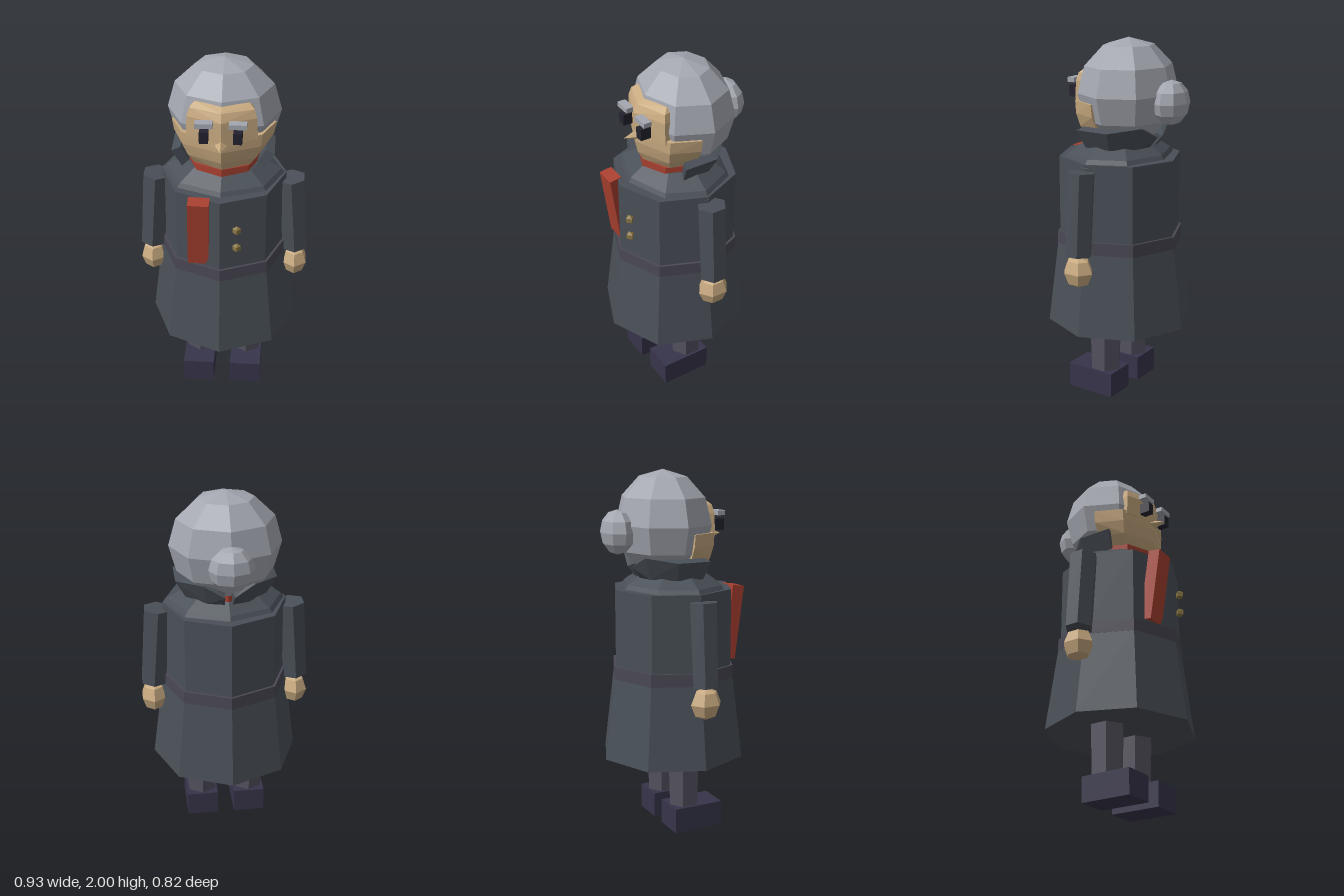
import * as THREE from 'three';
import { ConvexGeometry } from 'three/addons/geometries/ConvexGeometry.js';

const mat = (color) => new THREE.MeshStandardMaterial({ color, flatShading: true });
const M = {
  coat: mat(0x4a5058), belt: mat(0x4a4854), legs: mat(0x55525f), shoes: mat(0x37344a),
  skin: mat(0xc8aa80), hair: mat(0xa4a7b0), red: mat(0xa84030), brass: mat(0x8a7645), eyes: mat(0x23222f),
};

export function createModel() {
  const model = new THREE.Group();
  model.name = 'figure';

  const add = (name, geometry, material, x = 0, y = 0, z = 0) => {
    const mesh = new THREE.Mesh(geometry, material);
    mesh.name = name;
    mesh.position.set(x, y, z);
    model.add(mesh);
    return mesh;
  };
  // upright tapered prism between two heights
  const prism = (name, material, sides, rTop, rBottom, y0, y1, x = 0, z = 0) =>
    add(name, new THREE.CylinderGeometry(rTop, rBottom, y1 - y0, sides), material, x, (y0 + y1) / 2, z);
  const box = (name, material, w, h, d, x, y, z) =>
    add(name, new THREE.BoxGeometry(w, h, d), material, x, y, z);
  const hull = (name, material, points) =>
    add(name, new ConvexGeometry(points.map((p) => new THREE.Vector3(...p))), material);

  // coat
  prism('coatSkirt', M.coat, 8, 0.352, 0.41, 0.415, 0.87);
  prism('coatWaist', M.belt, 8, 0.352, 0.353, 0.87, 0.94);
  prism('coatBody', M.coat, 8, 0.338, 0.338, 0.93, 1.362);
  prism('shoulderLower', M.coat, 8, 0.31, 0.34, 1.345, 1.385).scale.z = 0.86;
  prism('shoulderUpper', M.coat, 8, 0.21, 0.31, 1.385, 1.445).scale.z = 0.86;

  // scarf ring and hanging tail
  prism('scarfRing', M.red, 8, 0.195, 0.195, 1.43, 1.478);
  const tail = box('scarfTail', M.red, 0.112, 0.41, 0.07, -0.114, 1.16, 0.3);
  tail.rotation.set(0.14, 0, -0.02);

  // buttons
  for (const y of [1.195, 1.085]) add('button', new THREE.SphereGeometry(0.026, 4, 3), M.brass, 0.09, y, 0.332);

  // upturned collar: thick flared wedges, open at the front and notched at the back
  const ring = (deg, r, y) => {
    const a = THREE.MathUtils.degToRad(deg);
    return [Math.sin(a) * r, y, Math.cos(a) * r * 0.88];
  };
  const wedge = (deg, lift) => [
    ring(deg, 0.195, 1.455), ring(deg, 0.235, 1.425),
    ring(deg, 0.242, 1.54 + lift), ring(deg, 0.292, 1.525 + lift),
  ];
  const collarAngles = [68, 112, 152, 175];
  const collarLift = [0, 0, 0.02, -0.04];
  for (const s of [1, -1]) {
    for (let i = 0; i < 3; i++) {
      hull('collar', M.coat, [
        ...wedge(s * collarAngles[i], collarLift[i]),
        ...wedge(s * collarAngles[i + 1], collarLift[i + 1]),
      ]);
    }
  }

  // head: hair ball, bun, jaw and face
  add('hair', new THREE.SphereGeometry(1, 8, 6), M.hair, 0, 1.71, -0.055).scale.set(0.3, 0.29, 0.262);
  add('hairBun', new THREE.SphereGeometry(1, 8, 6), M.hair, 0, 1.675, -0.325).scale.set(0.12, 0.12, 0.09);

  // mirrored half-rings: [y, side x, diagonal x, diagonal z, front z]
  const halfRing = ([y, sx, dx, dz, fz]) => [
    [sx, y, 0], [-sx, y, 0], [dx, y, dz], [-dx, y, dz], [0, y, fz],
  ];
  hull('jaw', M.skin, [
    [1.67, 0.275, 0.207, 0.15, 0.236],
    [1.6, 0.264, 0.2, 0.15, 0.236],
    [1.53, 0.226, 0.178, 0.14, 0.22],
    [1.465, 0.17, 0.14, 0.115, 0.185],
  ].flatMap(halfRing));
  hull('face', M.skin, [
    [1.65, 0.15, 0.185, 0.165, 0.236],
    [1.77, 0.15, 0.178, 0.165, 0.236],
    [1.815, 0.14, 0.165, 0.155, 0.215],
    [1.838, 0.12, 0.14, 0.13, 0.17],
  ].flatMap(halfRing));
  add('nose', new THREE.ConeGeometry(0.038, 0.09, 4), M.skin, 0, 1.64, 0.255).rotation.x = Math.PI / 2;

  // paired parts
  for (const s of [1, -1]) {
    const side = s > 0 ? 'left' : 'right';
    box(side + 'Eye', M.eyes, 0.045, 0.062, 0.06, s * 0.086, 1.7, 0.233);
    box(side + 'Eyebrow', M.hair, 0.09, 0.026, 0.045, s * 0.086, 1.764, 0.235);

    prism(side + 'Sleeve', M.coat, 6, 0.08, 0.075, 0.88, 1.33, s * 0.382).rotation.z = s * 0.075;
    const hand = add(side + 'Hand', new THREE.SphereGeometry(0.09, 6, 4).rotateY(Math.PI / 6), M.skin, s * 0.4, 0.79, 0);
    hand.scale.x = 0.84;

    prism(side + 'Leg', M.legs, 6, 0.098, 0.087, 0.13, 0.5, s * 0.137, 0.006);
    box(side + 'Shoe', M.shoes, 0.178, 0.14, 0.29, s * 0.137, 0.07, 0.055);
  }
  return model;
}
